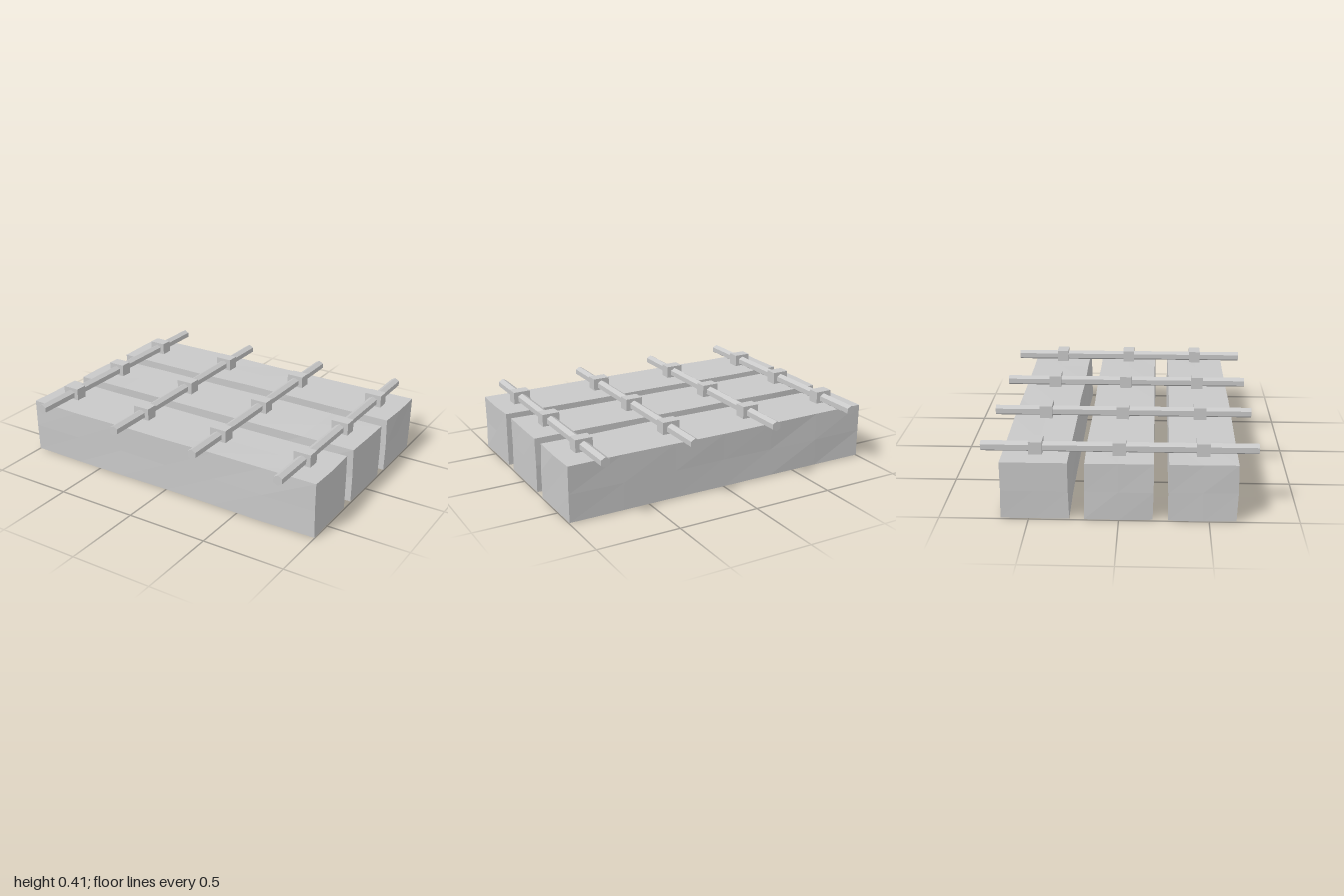
import * as THREE from 'three';

// Repeatable offset in -1..1 from a position, so shared corners stay joined
function wobble(x, y, z, seed) {
  const s = Math.sin(x * 12.99 + y * 78.23 + z * 37.72 + seed * 4.7) * 437.58;
  return (s - Math.floor(s)) * 2 - 1;
}

// Slightly uneven block, cut into a few flat facets
function unevenBeam(seed) {
  const geometry = new THREE.BoxGeometry(1.993, 0.335, 0.378, 6, 2, 2);
  const p = geometry.attributes.position;
  for (let i = 0; i < p.count; i++) {
    const [x, y, z] = [p.getX(i), p.getY(i), p.getZ(i)].map((v) => Math.round(v * 1000) / 1000);
    p.setXYZ(i,
      x + 0.0035 * wobble(x, y, z, seed),
      y + 0.0025 * wobble(x, y, z, seed + 10),
      z + 0.004 * wobble(x, y, z, seed + 20));
  }
  geometry.computeVertexNormals();
  return geometry;
}

export function createModel() {
  const model = new THREE.Group();
  const grey = new THREE.MeshStandardMaterial({ color: 0xc8c8c8, flatShading: true });
  grey.name = 'light grey';

  const add = (name, geometry, x, y, z) => {
    const mesh = new THREE.Mesh(geometry, grey);
    mesh.name = name;
    mesh.position.set(x, y, z);
    model.add(mesh);
  };

  const beamZ = [-0.465, 0, 0.465];
  const rodX = [-0.832, -0.279, 0.274, 0.828];

  // Three long beams side by side
  beamZ.forEach((z, i) => add('beam', unevenBeam(i + 1), 0, 0.171, z));

  // Hexagonal rods across the beams, held by a clamp on each beam
  const rod = new THREE.CylinderGeometry(0.031, 0.031, 1.548, 6).rotateX(Math.PI / 2);
  const clamp = new THREE.BoxGeometry(0.107, 0.076, 0.075);
  for (const x of rodX) {
    add('rod', rod, x, 0.37, 0);
    for (const z of beamZ) add('clamp', clamp, x, 0.376, z);
  }
  return model;
}
